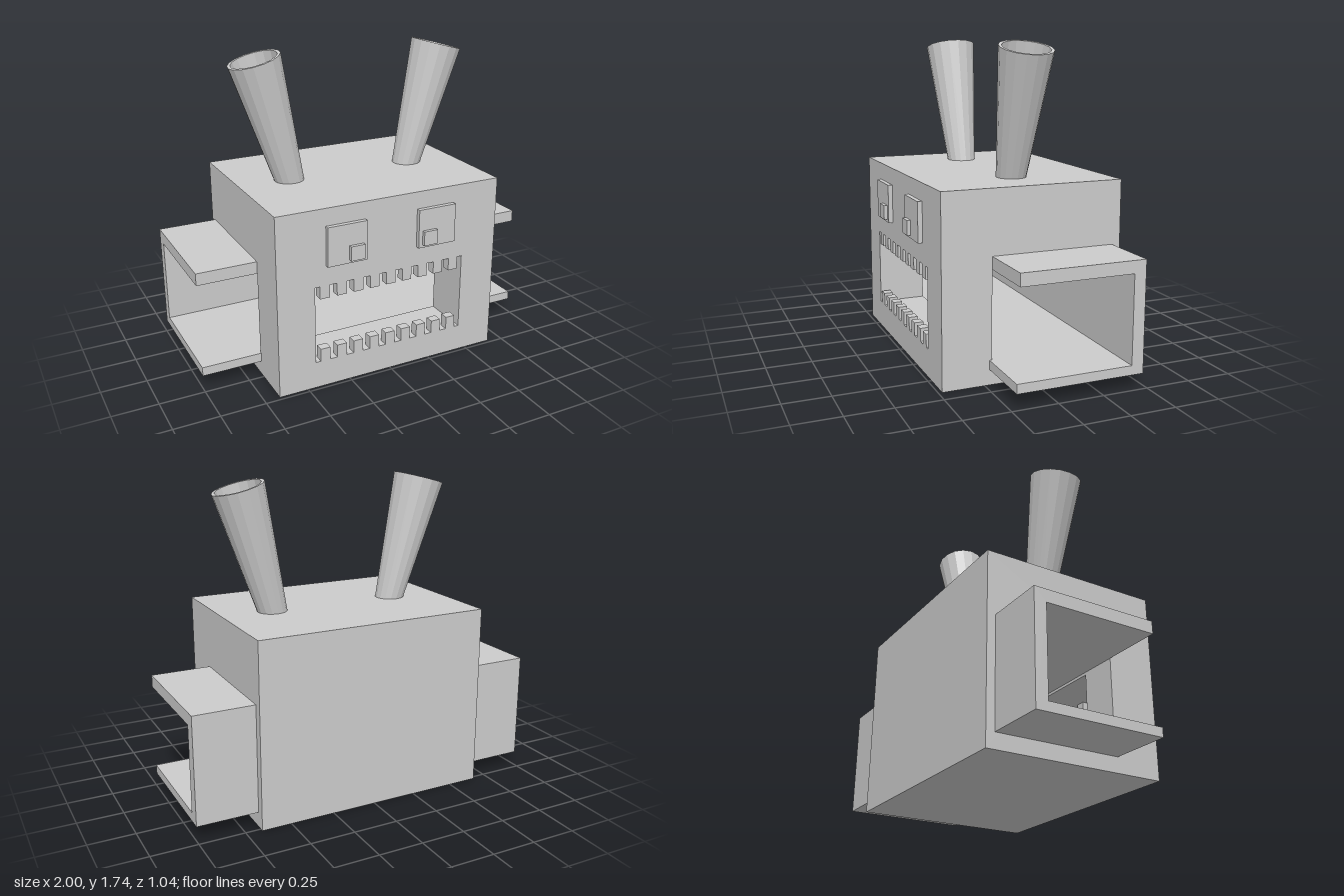
import * as THREE from 'three';

const material = new THREE.MeshStandardMaterial({ color: 0xcccccc, flatShading: true });

function add(parent, name, geometry) {
  const mesh = new THREE.Mesh(geometry, material);
  mesh.name = name;
  parent.add(mesh);
  return mesh;
}

// Box given by its minimum and maximum corners
function addBox(parent, name, [x0, y0, z0], [x1, y1, z1]) {
  const mesh = add(parent, name, new THREE.BoxGeometry(x1 - x0, y1 - y0, z1 - z0));
  mesh.position.set((x0 + x1) / 2, (y0 + y1) / 2, (z0 + z1) / 2);
}

// Tunnel through the sides
const tunnel = { bottom: 0.133, top: 0.607, back: -0.407, front: 0.21 };

// C-shaped channel wrapped round the tunnel, open to the front, extruded from x0 to x1
function channel(x0, x1, bottom, top, back, lowerFront = tunnel.front) {
  const outline = [
    [back, bottom], [lowerFront, bottom], [lowerFront, tunnel.bottom],
    [tunnel.back, tunnel.bottom], [tunnel.back, tunnel.top],
    [tunnel.front, tunnel.top], [tunnel.front, top], [back, top],
  ];
  const shape = new THREE.Shape(outline.map(([z, y]) => new THREE.Vector2(-z, y)));
  return new THREE.ExtrudeGeometry(shape, { depth: x1 - x0, bevelEnabled: false })
    .rotateY(Math.PI / 2).translate(x0, 0, 0);
}

function rectangle(PathType, x0, y0, x1, y1) {
  const path = new PathType();
  path.moveTo(x0, y0).lineTo(x1, y0).lineTo(x1, y1).lineTo(x0, y1).closePath();
  return path;
}

export function createModel() {
  const model = new THREE.Group();
  model.name = 'boxHead';

  const halfWidth = 0.665, height = 1.02, face = 0.48;
  const mouth = { x0: -0.453, x1: 0.449, y0: 0.153, y1: 0.592 };

  // Head: rear channel and a thick front with the mouth cut through to the tunnel
  add(model, 'headRear', channel(-halfWidth, halfWidth, 0, height, -0.52));
  const front = rectangle(THREE.Shape, -halfWidth, 0, halfWidth, height);
  front.holes.push(rectangle(THREE.Path, mouth.x0, mouth.y0, mouth.x1, mouth.y1));
  add(model, 'headFront', new THREE.ExtrudeGeometry(front, {
    depth: face - tunnel.front, bevelEnabled: false,
  }).translate(0, 0, tunnel.front));

  // Ears: channels standing out from each side
  add(model, 'leftEar', channel(halfWidth, 1, 0.083, 0.675, -0.473, 0.224));
  add(model, 'rightEar', channel(-1, -halfWidth, 0.083, 0.675, -0.473, 0.224));

  // Two rows of teeth
  const teeth = new THREE.Group();
  teeth.name = 'teeth';
  model.add(teeth);
  for (let i = 0; i < 9; i++) {
    const x = -0.396 + i * 0.0985, w = 0.028, h = 0.072, back = face - 0.05;
    addBox(teeth, 'upperTooth', [x - w, mouth.y1 - h, back], [x + w, mouth.y1, face]);
    addBox(teeth, 'lowerTooth', [x - w, mouth.y0, back], [x + w, mouth.y0 + h, face]);
  }

  // Hollow tapered horn, origin at the middle of its rim
  const hornProfile = [[0.076, -0.76], [0.144, 0], [0.127, 0], [0.059, -0.76]]
    .map(([r, y]) => new THREE.Vector2(r, y));
  const hornGeometry = new THREE.LatheGeometry(hornProfile, 16);

  for (const side of [1, -1]) {
    const label = side > 0 ? 'left' : 'right';

    // Eye plate with a pupil in its lower inner corner
    const cx = side * 0.27 - 0.004, px = side * 0.22 - 0.004;
    addBox(model, label + 'Eye', [cx - 0.114, 0.704, face], [cx + 0.114, 0.923, 0.505]);
    addBox(model, label + 'Pupil', [px - 0.041, 0.721, 0.505], [px + 0.041, 0.802, 0.525]);

    // Horn leaning outwards
    const horn = add(model, label + 'Horn', hornGeometry);
    horn.position.set(side * 0.553, 1.7, -0.02);
    horn.rotation.z = -side * Math.PI / 12;
  }

  return model;
}
